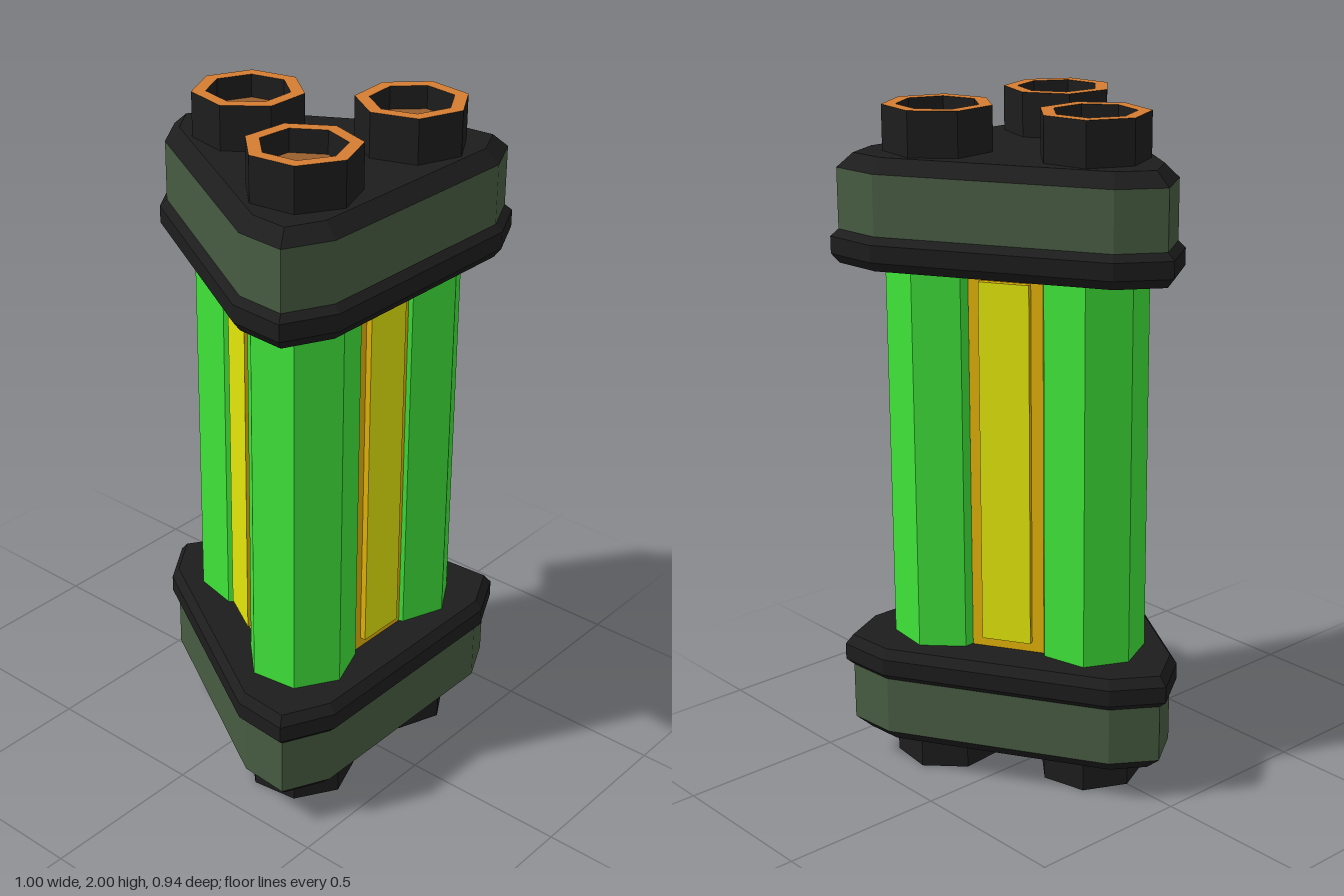
import * as THREE from 'three';

const mat = (name, color) => {
  const m = new THREE.MeshStandardMaterial({ color });
  m.name = name;
  return m;
};

const THIRD = (Math.PI * 2) / 3;
const CENTRE_Z = 0.107; // axis of the three-fold symmetry
const CENTRE_Y = 0.98; // mid height between the two caps
const TUBE_R = 0.16;
const TUBE_OFFSET = 0.263;
const TWIST = [0, 0.055, -0.055]; // the two front tubes are turned slightly

// Nine-cornered rounded triangle, moved inwards by d
function outline(d) {
  const h = 0.363 - d, w = 0.35 - 0.23 * d, t = 0.578 - 1.2 * d;
  const base = [[-w, h], [w, h], [t * Math.sin(THIRD / 2), t * Math.cos(THIRD / 2)]];
  const pts = [];
  for (let k = 0; k < 3; k++) {
    const c = Math.cos(k * THIRD), s = Math.sin(k * THIRD);
    for (const [x, z] of base) pts.push([x * c + z * s, -x * s + z * c]);
  }
  return pts;
}

// Flat-faced skin through [inset, y] levels, from low to high
function loft(levels, closeBottom, closeTop) {
  const rings = levels.map(([d, y]) => outline(d).map(([x, z]) => [x, y, z]));
  const n = rings[0].length, v = [];
  const tri = (a, b, c) => v.push(...a, ...b, ...c);
  const top = rings[rings.length - 1], bottom = rings[0];
  for (let i = 0; i < n; i++) {
    const j = (i + 1) % n;
    for (let r = 0; r < rings.length - 1; r++) {
      const lo = rings[r], hi = rings[r + 1];
      tri(lo[i], lo[j], hi[j]);
      tri(lo[i], hi[j], hi[i]);
    }
    if (closeTop) tri([0, top[0][1], 0], top[i], top[j]);
    if (closeBottom) tri([0, bottom[0][1], 0], bottom[j], bottom[i]);
  }
  const g = new THREE.BufferGeometry();
  g.setAttribute('position', new THREE.Float32BufferAttribute(v, 3));
  g.computeVertexNormals();
  return g;
}

// Seven-sided turned surface with a corner pointing outwards (-z)
function heptagon(profile) {
  const pts = profile.map(([r, y]) => new THREE.Vector2(r, y));
  const g = new THREE.LatheGeometry(pts, 7, Math.PI).toNonIndexed();
  g.computeVertexNormals();
  return g;
}

function add(parent, name, geometry, material, z = 0, turn = 0) {
  const m = new THREE.Mesh(geometry, material);
  m.name = name;
  m.position.z = z;
  m.rotation.y = turn;
  parent.add(m);
}

export function createModel() {
  const black = mat('black casing', 0x1d1d1d);
  const olive = mat('olive band', 0x485c42);
  const green = mat('green glow', 0x40e43a);
  const gold = mat('gold frame', 0xe2b20a);
  const yellow = mat('yellow panel', 0xe2e60a);
  const copper = mat('copper rim', 0xd47c32);
  const darkCopper = mat('dark copper', 0x985f2e);

  const model = new THREE.Group();
  model.name = 'tripleCell';

  // Middle: three glowing tubes with a framed panel between each pair
  const core = new THREE.Group();
  core.name = 'core';
  core.position.set(0, CENTRE_Y, CENTRE_Z);
  model.add(core);
  for (let k = 0; k < 3; k++) {
    const side = new THREE.Group();
    side.name = 'coreSide';
    side.rotation.y = k * THIRD;
    core.add(side);
    add(side, 'glowTube', heptagon([[TUBE_R, -0.58], [TUBE_R, 0.58]]), green, -TUBE_OFFSET, TWIST[k]);
    add(side, 'panelFrame', new THREE.BoxGeometry(0.222, 1.16, 0.05), gold, 0.205);
    add(side, 'panel', new THREE.BoxGeometry(0.15, 1.09, 0.03),
      [gold, gold, gold, gold, yellow, gold], 0.233);
  }

  // Two matching ends, the lower one turned over with shorter sockets
  for (const [end, rimY] of [['top', 1.02], ['bottom', 0.98]]) {
    const cap = new THREE.Group();
    cap.name = end + 'Cap';
    cap.position.set(0, CENTRE_Y, CENTRE_Z);
    if (end === 'bottom') cap.rotation.z = Math.PI;
    model.add(cap);

    add(cap, 'flange', loft([[0.02, 0.577], [0, 0.605], [0, 0.655], [0.02, 0.675]], true, true), black);
    add(cap, 'band', loft([[0.02, 0.67], [0.02, 0.85]], false, false), olive);
    add(cap, 'lid', loft([[0.02, 0.85], [0.06, 0.89]], false, true), black);

    // Hollow sockets with a bright rim
    const floorY = 0.953;
    for (let k = 0; k < 3; k++) {
      const socket = new THREE.Group();
      socket.name = 'socket';
      socket.rotation.y = k * THIRD;
      cap.add(socket);
      const part = (name, profile, material) =>
        add(socket, name, heptagon(profile), material, -TUBE_OFFSET, TWIST[k]);
      part('socketWall', [[TUBE_R, 0.88], [TUBE_R, rimY]], black);
      part('socketRim', [[TUBE_R, rimY], [0.12, rimY]], copper);
      part('socketBore', [[0.12, rimY], [0.12, floorY]], black);
      part('socketFloor', [[0.12, floorY], [0, floorY]], darkCopper);
    }
  }
  return model;
}
